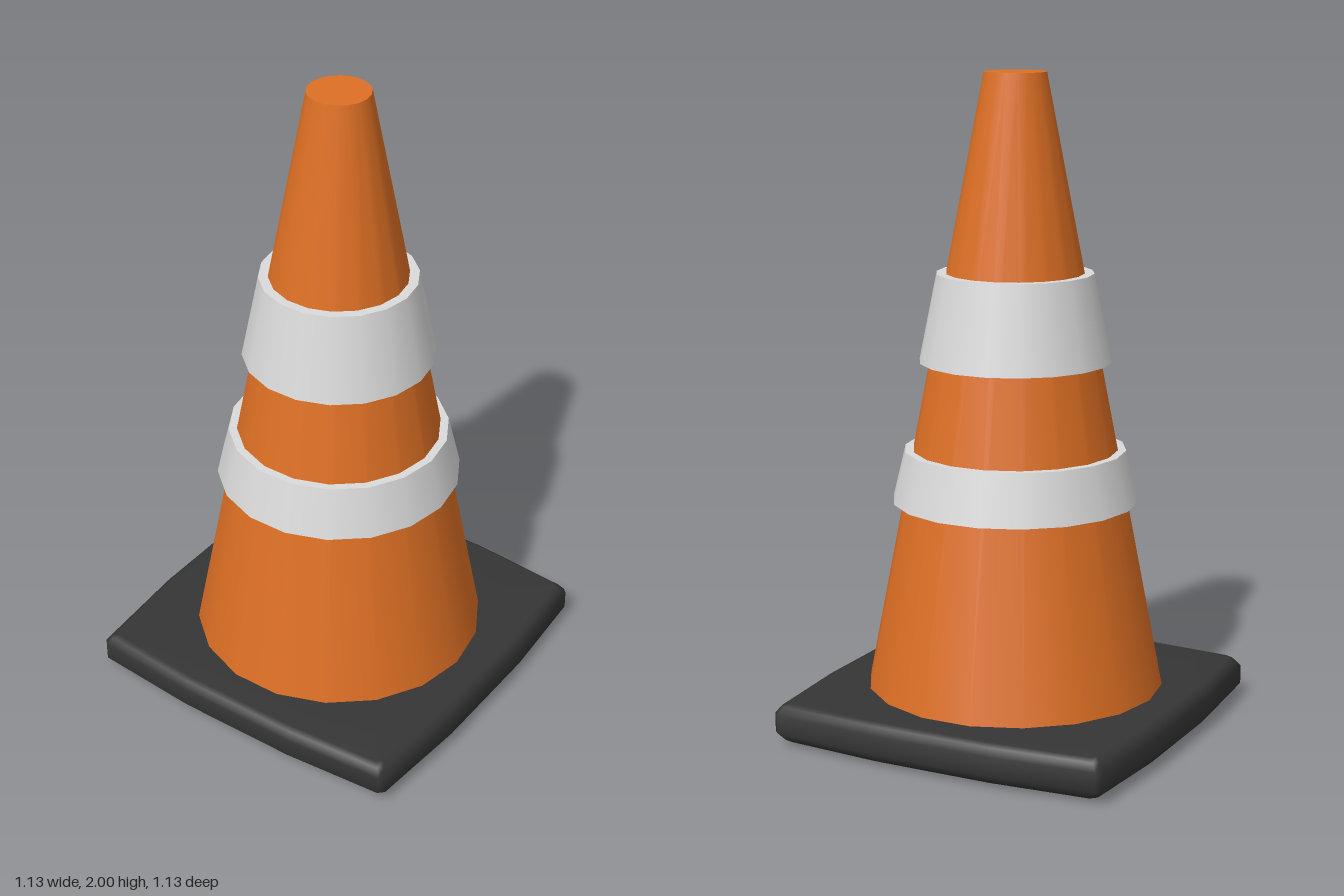
import * as THREE from 'three';

const SIDES = 18;
const orange = new THREE.MeshStandardMaterial({ color: 0xdd6f24 });
const white = new THREE.MeshStandardMaterial({ color: 0xdadada });
const rubber = new THREE.MeshStandardMaterial({ color: 0x353535 });
orange.name = 'orange plastic';
white.name = 'reflective white';
rubber.name = 'black rubber';

// Tapered closed ring or cone standing between two heights
function taper(name, rTop, rBottom, y0, y1, material) {
  const geo = new THREE.CylinderGeometry(rTop, rBottom, y1 - y0, SIDES);
  geo.translate(0, (y0 + y1) / 2, 0);
  const mesh = new THREE.Mesh(geo, material);
  mesh.name = name;
  return mesh;
}

// Square slab with bowed sides and softened rims, from stacked outlines
function baseGeometry() {
  const outline = [];
  for (let k = 0; k < 4; k++) {
    for (const [x, z] of [[-0.2, 0.567], [0.2, 0.567], [0.527, 0.542], [0.542, 0.527]]) {
      const a = k * Math.PI / 2, c = Math.round(Math.cos(a)), s = Math.round(Math.sin(a));
      outline.push([x * c + z * s, z * c - x * s]);
    }
  }
  // [height, inset from the rim, scale]
  const rings = [[0, 0, 0.45], [0.008, 0, 0.94], [0.018, 0, 0.967], [0.042, 0, 1],
    [0.1, 0, 1], [0.122, 0, 0.972], [0.132, 0, 0.945], [0.134, 0, 0.7]];
  const n = outline.length, pos = [], idx = [];
  for (const [y, , s] of rings) for (const [x, z] of outline) pos.push(x * s, y, z * s);
  const bottom = pos.length / 3, top = bottom + 1;
  pos.push(0, 0, 0, 0, 0.134, 0);
  const last = (rings.length - 1) * n;
  for (let i = 0; i < n; i++) {
    const j = (i + 1) % n;
    for (let r = 0; r < last; r += n) idx.push(r + i, r + j, r + n + j, r + i, r + n + j, r + n + i);
    idx.push(bottom, j, i, top, last + i, last + j);
  }
  const geo = new THREE.BufferGeometry();
  geo.setAttribute('position', new THREE.Float32BufferAttribute(pos, 3));
  geo.setIndex(idx);
  geo.computeVertexNormals();
  return geo;
}

export function createModel() {
  const group = new THREE.Group();
  group.name = 'trafficCone';

  const base = new THREE.Mesh(baseGeometry(), rubber);
  base.name = 'base';
  group.add(base);

  // Cone body and its two reflective collars
  group.add(taper('coneBody', 0.094, 0.457, 0.12, 2, orange));
  group.add(taper('lowerBand', 0.338, 0.376, 0.71, 0.868, white));
  group.add(taper('upperBand', 0.238, 0.292, 1.138, 1.405, white));
  return group;
}
